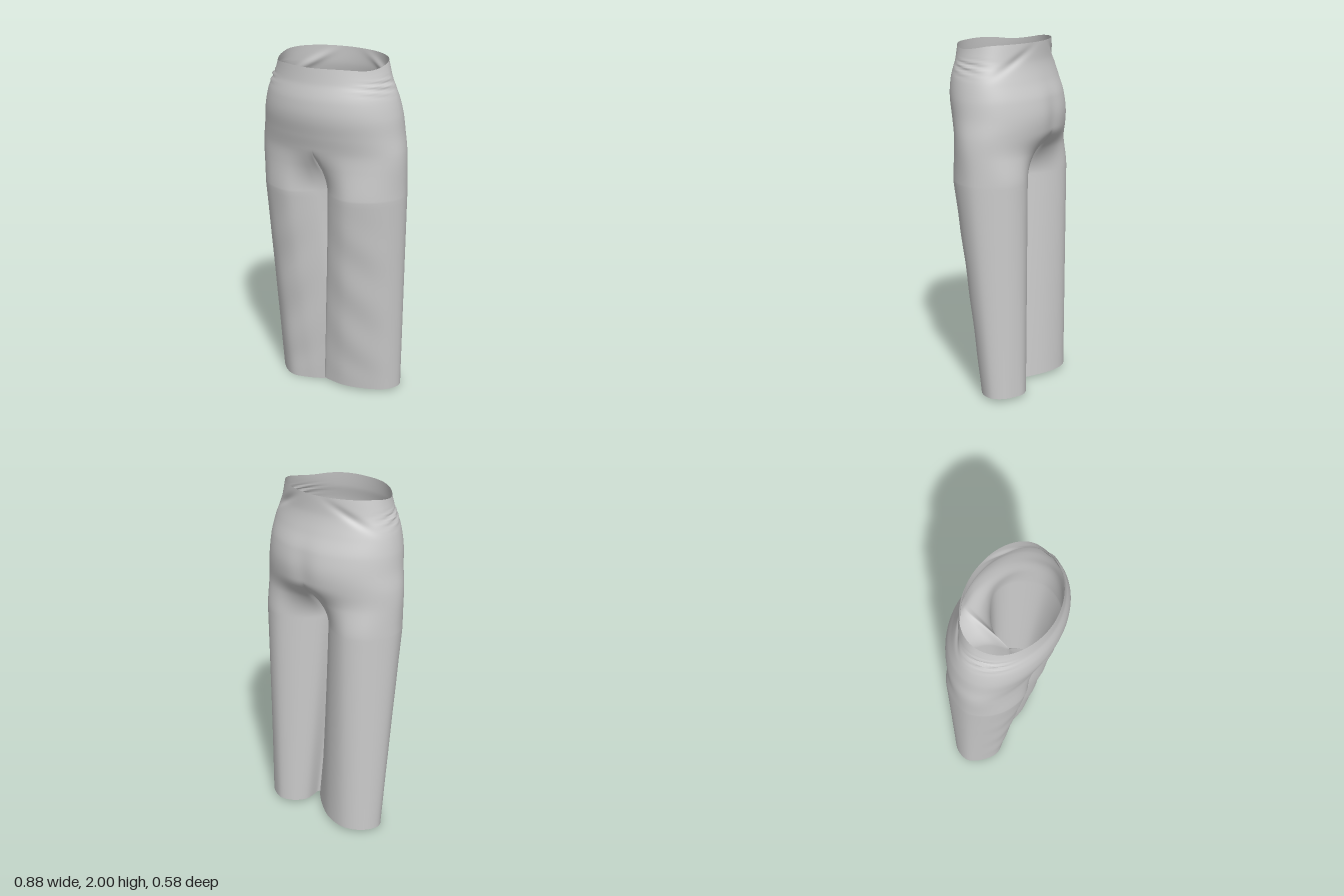
import * as THREE from 'three';
import { mergeVertices } from 'three/addons/utils/BufferGeometryUtils.js';

const CROTCH = 1.24, SPLIT = 1.52, STEPS = 84;
const curve = pts => new THREE.CatmullRomCurve3(pts.map(p => new THREE.Vector3(p[0], p[1], p[2] || 0)));
const smooth = (v, a, b) => THREE.MathUtils.smoothstep(v, a, b);
const bell = (v, c, w) => Math.exp(-(((v - c) / w) ** 2));

// hip sizes every 0.1 from y = 1.2 to 2.0: half width, front z, back z
const hips = curve([
  [0.437, 0.22, -0.25], [0.44, 0.225, -0.255], [0.44, 0.23, -0.262],
  [0.435, 0.238, -0.286], [0.42, 0.264, -0.296], [0.408, 0.288, -0.28],
  [0.385, 0.29, -0.243], [0.345, 0.272, -0.217], [0.32, 0.265, -0.214],
]);

// leg outlines (outward x, z): inner seam, front, outside, back, inner seam
const thighPoints = [
  [0, 0], [0.008, 0.07], [0.045, 0.145], [0.175, 0.212], [0.31, 0.175], [0.4, 0.09], [0.437, -0.01],
  [0.41, -0.11], [0.34, -0.2], [0.24, -0.234], [0.12, -0.19], [0.03, -0.1], [0, 0],
];
const thigh = curve(thighPoints);
const leftHem = curve([
  [0.12, -0.04], [0.095, 0.006], [-0.05, 0.022], [0.08, 0.055], [0.22, 0.035], [0.34, -0.02], [0.385, -0.1],
  [0.36, -0.17], [0.3, -0.215], [0.24, -0.235], [0.16, -0.205], [0.115, -0.14], [0.12, -0.04],
]);
const rightHem = curve([
  [-0.1, -0.04], [-0.075, -0.004], [0.02, 0.003], [0.14, 0.045], [0.25, 0.06], [0.34, 0], [0.39, -0.08],
  [0.37, -0.16], [0.31, -0.215], [0.23, -0.235], [0.11, -0.205], [-0.02, -0.115], [-0.1, -0.04],
]);

// angle round the hips that lines up with each thigh point
const hipAngle = curve(thighPoints.map(([x], i) => {
  const a = Math.asin(x / 0.437);
  return [i > 6 ? Math.PI - a : a, 0];
}));

// point on one half of the hips, from centre front round to centre back
function hipPoint(y, t) {
  const h = hips.getPoint(THREE.MathUtils.clamp((y - 1.2) / 0.8, 0, 1));
  const a = hipAngle.getPoint(t).x, c = Math.cos(a), turn = a / Math.PI;
  const x = h.x * Math.sin(a);
  let z = c > 0 ? h.y * c : -h.z * c;
  // shallow groove down the seat
  if (c < 0) z += 0.012 * bell(x, 0, 0.07) * bell(y, 1.58, 0.15);
  // gathered creases at the sides of the waist and pinches at the back
  const gather = bell(y, 1.88, 0.035) * bell(turn, 0.42, 0.12);
  const k = 1 + 0.03 * gather * Math.sin((y + 0.12 * turn) * 170)
    - 0.04 * bell(y - 0.5 * (turn - 0.8), 1.92, 0.025) * bell(turn, 0.78, 0.1);
  return new THREE.Vector3(x * k, z * k, 0);
}

function clothPoint(hem, y, t, tilt) {
  let p;
  if (y >= CROTCH) {
    p = hipPoint(y, t).lerp(thigh.getPoint(t), 1 - smooth(y, CROTCH, SPLIT));
  } else {
    const down = 1 - y / CROTCH;
    p = thigh.getPoint(t).lerp(hem.getPoint(t), down);
    // soft drape folds on the front of the leg
    p.y += 0.003 * Math.sin(y * 17 + p.x * 14) * bell(t, 0.3, 0.1) * smooth(down, 0, 0.3) * smooth(y, 0, 0.2);
  }
  // waistline dips towards the front of the sides, hem tilts a little
  const dip = -0.02 * (1 - smooth(t, 0.1, 0.8)) - 0.022 * bell(t, 0.41, 0.1);
  const lift = 0.02 - tilt * smooth(p.y, -0.235, 0.06);
  const yy = y + dip * smooth(y, 1.85, 2) + lift * Math.max(0, 1 - y / CROTCH);
  return [p.x, yy, p.y];
}

function clothGeometry() {
  const levels = [];
  for (let i = 0; i < 40; i++) levels.push(CROTCH * i / 40);
  for (let i = 0; i <= 64; i++) levels.push(CROTCH + (2 - CROTCH) * i / 64);
  const pos = [], index = [];
  for (const [side, hem, tilt] of [[1, leftHem, 0.004], [-1, rightHem, 0.02]]) {
    const base = pos.length / 3, n = STEPS + 1;
    levels.forEach((y, r) => {
      for (let i = 0; i <= STEPS; i++) {
        const [x, yy, z] = clothPoint(hem, y, i / STEPS, tilt);
        // keep the centre seam exactly on the middle
        const seam = y >= CROTCH && (i === 0 || i === STEPS);
        pos.push(seam ? 0 : side * x, yy, z);
        if (r && i) {
          const d = base + r * n + i, c = d - 1, b = d - n, a = b - 1;
          if (side > 0) index.push(a, b, d, a, d, c);
          else index.push(a, d, b, a, c, d);
        }
      }
    });
  }
  let g = new THREE.BufferGeometry();
  g.setAttribute('position', new THREE.Float32BufferAttribute(pos, 3));
  g.setIndex(index);
  g = mergeVertices(g, 1e-5);
  g.computeVertexNormals();
  return g;
}

export function createModel() {
  const group = new THREE.Group();
  group.name = 'trousers';
  const cloth = new THREE.Mesh(clothGeometry(),
    new THREE.MeshStandardMaterial({ color: 0xcccccc, side: THREE.DoubleSide }));
  cloth.name = 'trouserCloth';
  group.add(cloth);
  return group;
}
